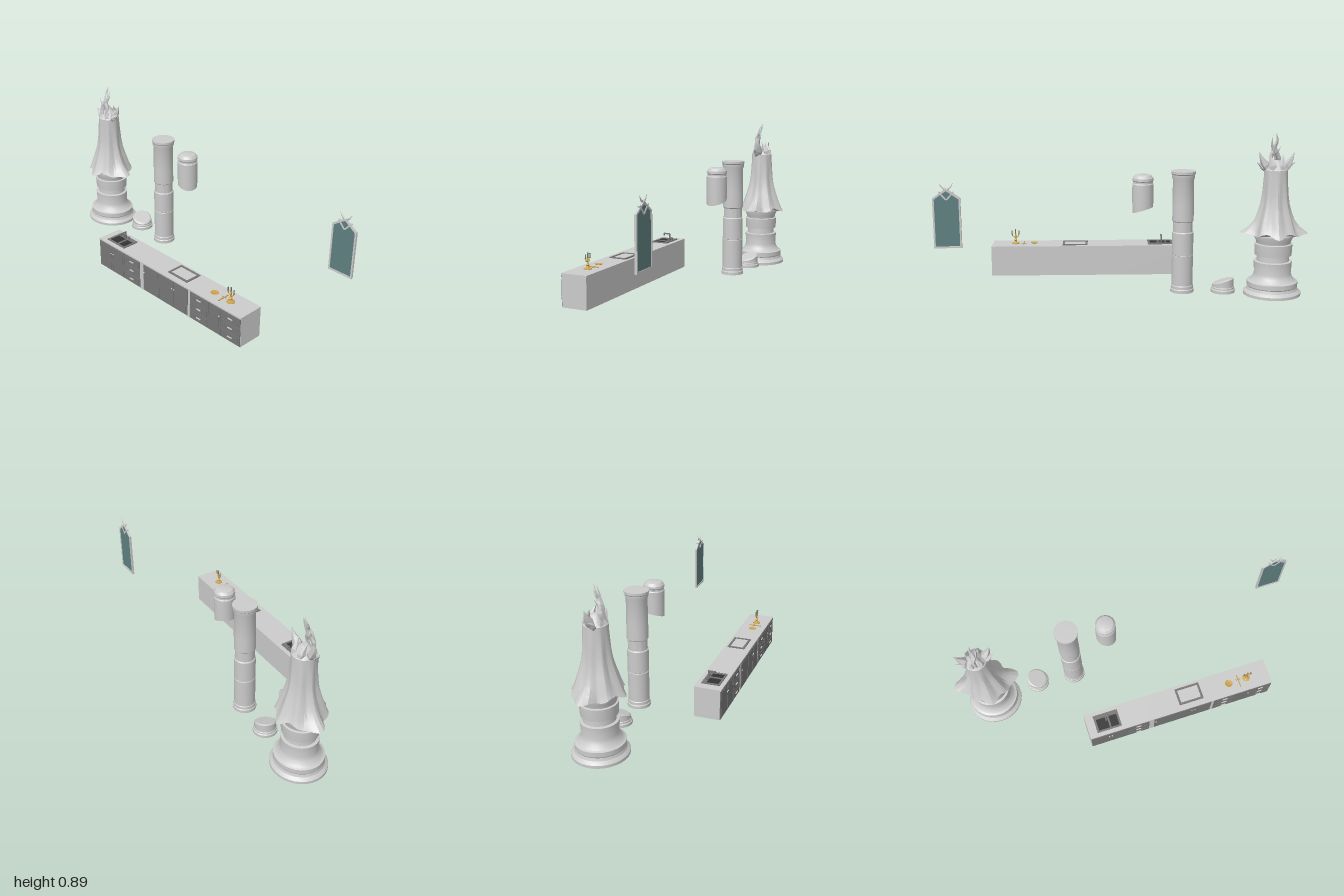
import * as THREE from 'three';
import { toCreasedNormals } from 'three/addons/utils/BufferGeometryUtils.js';

const mat = (color, flatShading = false) => new THREE.MeshStandardMaterial({ color, flatShading, side: THREE.DoubleSide });
const grey = mat(0xcccccc), stone = mat(0xcccccc, true), dark = mat(0x777777), black = mat(0x333333);
const gold = mat(0xc9a24a), glass = mat(0x5f8080);

function add(parent, name, geo, material = grey, x = 0, y = 0, z = 0) {
  const m = new THREE.Mesh(geo, material);
  m.name = name;
  m.position.set(x, y, z);
  parent.add(m);
  return m;
}
function group(parent, name, x = 0, y = 0, z = 0) {
  const g = new THREE.Group();
  g.name = name;
  g.position.set(x, y, z);
  parent.add(g);
  return g;
}
const box = (p, name, x0, x1, y0, y1, z0, z1, m) =>
  add(p, name, new THREE.BoxGeometry(x1 - x0, y1 - y0, z1 - z0), m, (x0 + x1) / 2, (y0 + y1) / 2, (z0 + z1) / 2);

// Turned shape from [radius, height] pairs, with an optional rule that moves each vertex
function turned(profile, sides = 32, rule, crease = 0.5) {
  const g = new THREE.LatheGeometry(profile.map(p => new THREE.Vector2(...p)), sides);
  if (rule) move(g, rule);
  return toCreasedNormals(g, crease);
}
function move(g, rule) {
  const p = g.attributes.position, v = new THREE.Vector3();
  for (let i = 0; i < p.count; i++) {
    v.fromBufferAttribute(p, i);
    rule(v);
    p.setXYZ(i, v.x, v.y, v.z);
  }
  g.computeVertexNormals();
}

// Pointed leaf swept along a curve, swelling in the middle
function leaf(points, width, start = 0.35) {
  const curve = new THREE.CatmullRomCurve3(points.map(p => new THREE.Vector3(...p)));
  const n = 10, k = 5, g = new THREE.TubeGeometry(curve, n, 1, k);
  const p = g.attributes.position, v = new THREE.Vector3();
  for (let i = 0; i <= n; i++) {
    const t = i / n, c = curve.getPointAt(t);
    const r = width * Math.max(0.02, t < 0.4 ? start + (1 - start) * t / 0.4 : (1 - t) / 0.6);
    for (let j = 0; j <= k; j++) {
      const a = i * (k + 1) + j;
      v.fromBufferAttribute(p, a).sub(c).multiplyScalar(r).add(c);
      p.setXYZ(a, v.x, v.y, v.z);
    }
  }
  g.computeVertexNormals();
  return g;
}

// Tall statue: round pedestal, draped body with a pointed hem, crown of leaves
function statue(root) {
  const s = group(root, 'statue', -0.828, 0, -0.167);
  const ped = add(s, 'pedestal', turned([[0, 0], [0.157, 0], [0.157, 0.015], [0.15, 0.022], [0.14, 0.03], [0.135, 0.045],
    [0.138, 0.05], [0.138, 0.075], [0.125, 0.08], [0.108, 0.1], [0.1, 0.122], [0.104, 0.187], [0.088, 0.19], [0.086, 0.22],
    [0.1, 0.222], [0.102, 0.25], [0.103, 0.285], [0.093, 0.288], [0.095, 0.3], [0.107, 0.325], [0.107, 0.335], [0, 0.336]]));
  ped.scale.z = 0.93;

  const hem = v => {
    const r = Math.hypot(v.x, v.z);
    if (r < 1e-4) return;
    const a = Math.atan2(v.z, v.x), low = THREE.MathUtils.clamp((0.43 - v.y) / 0.085, 0, 1);
    const c = Math.cos(a - 0.13), side = Math.pow(Math.abs(c), 14), end = Math.pow(Math.abs(Math.sin(a)), 10);
    const pleat = 1 + 0.07 * Math.cos(a * 8) * THREE.MathUtils.clamp((0.72 - v.y) / 0.2, 0, 1);
    const reach = r > 0.085 ? low * low * (0.055 * side + 0.012 * end) : 0;
    const q = (pleat * r + reach) / r;
    v.x *= q;
    v.z *= q;
    if (v.y < 0.4 && r > 0.085) v.y += 0.012 * (1 - side) * Math.cos(a * 6) * low;
  };
  add(s, 'drapedBody', turned([[0, 0.335], [0.08, 0.335], [0.125, 0.343], [0.12, 0.355], [0.113, 0.375], [0.103, 0.41],
    [0.09, 0.45], [0.076, 0.5], [0.069, 0.55], [0.066, 0.6], [0.063, 0.65], [0.062, 0.69], [0.052, 0.7], [0.035, 0.725],
    [0.015, 0.74], [0, 0.742]], 48, hem, 0.4));

  // Crown: leaves to both sides, shorter ones at front and back
  const crown = group(s, 'crown', 0, 0, 0);
  for (const side of [-1, 1]) {
    add(crown, 'sideLeaf', leaf([[side * 0.035, 0.67, 0], [side * 0.055, 0.71, 0], [side * 0.078, 0.745, -0.005],
      [side * 0.094, 0.785, -0.01]], 0.024, 0.7), stone);
    add(crown, 'outerLeaf', leaf([[side * 0.045, 0.68, 0.015], [side * 0.075, 0.71, 0.015], [side * 0.105, 0.728, 0.01]], 0.018, 0.7), stone);
    add(crown, 'backLeaf', leaf([[side * 0.02, 0.67, -0.04], [side * 0.025, 0.72, -0.03], [side * 0.035, 0.77, -0.01]], 0.022, 0.8), stone);
    add(crown, 'frontLeaf', leaf([[side * 0.02, 0.67, 0.03], [side * 0.025, 0.7, 0.035], [side * 0.03, 0.745, 0.03]], 0.018, 0.8), stone);
  }
  // Twin wavy flame leaning back
  add(crown, 'flame', leaf([[0, 0.715, 0.052], [-0.008, 0.76, 0.037], [0.008, 0.81, 0.02], [-0.004, 0.845, 0.008], [0.006, 0.887, -0.004]], 0.018), stone);
  add(crown, 'flame', leaf([[0.015, 0.71, 0.042], [0.024, 0.75, 0.03], [0.012, 0.79, 0.025], [0.024, 0.825, 0.015], [0.022, 0.872, 0.003]], 0.013), stone);
  add(crown, 'flame', leaf([[-0.015, 0.7, 0.045], [-0.022, 0.74, 0.038], [-0.012, 0.78, 0.024], [-0.025, 0.815, 0.012]], 0.012), stone);
}

// Stone columns: one whole, one broken top, one broken foot
function columns(root) {
  add(root, 'column', turned([[0, 0.02], [0.064, 0.02], [0.064, 0.037], [0.06, 0.041], [0.06, 0.056], [0.057, 0.06],
    [0.058, 0.226], [0.056, 0.228], [0.058, 0.23], [0.058, 0.352], [0.053, 0.357], [0.053, 0.412], [0.058, 0.417],
    [0.058, 0.5], [0.057, 0.64], [0.062, 0.655], [0.062, 0.668], [0.066, 0.673], [0.066, 0.686], [0, 0.687]]),
    grey, -0.33, 0, -0.173);
  add(root, 'brokenColumnTop', turned([[0, 0.45], [0.056, 0.45], [0.057, 0.53], [0.057, 0.615], [0.053, 0.621], [0.053, 0.63],
    [0.057, 0.635], [0.056, 0.648], [0.045, 0.662], [0.037, 0.665], [0, 0.665]], 32,
    v => { if (v.y < 0.46) v.y = 0.473 - 0.3 * v.x - 0.12 * v.z; }), grey, -0.113, 0, -0.163);
  add(root, 'brokenColumnFoot', turned([[0, 0.02], [0.066, 0.02], [0.066, 0.036], [0.061, 0.04], [0.061, 0.048],
    [0.058, 0.051], [0.058, 0.08], [0.05, 0.086], [0, 0.086]], 32,
    v => { if (v.y > 0.07) v.y += -0.3 * v.x + 0.16 * -v.z - 0.002; }), grey, -0.553, 0, -0.187);
}

// Plate with rectangular openings, lying flat
function plate(x0, x1, z0, z1, holes, h) {
  const rect = (o, a, b, c, d) => { o.moveTo(a, c); o.lineTo(b, c); o.lineTo(b, d); o.lineTo(a, d); o.closePath(); return o; };
  const s = rect(new THREE.Shape(), x0, x1, -z1, -z0);
  for (const [a, b, c, d] of holes) s.holes.push(rect(new THREE.Path(), a, b, -d, -c));
  return new THREE.ExtrudeGeometry(s, { depth: h, bevelEnabled: false }).rotateX(-Math.PI / 2);
}

function kitchen(root) {
  const k = group(root, 'kitchenCounter');
  for (const [a, b] of [[-0.36, 0.005], [0.005, 0.385], [0.385, 0.75]]) {
    box(k, 'cabinet', a, b, 0.02, 0.187, 0.157, 0.3);
    box(k, 'worktop', a, b, 0.187, 0.195, 0.155, 0.305);
  }
  box(k, 'fillerStrip', -0.004, 0.024, 0.02, 0.187, 0.3, 0.304);
  box(k, 'fillerStrip', 0.377, 0.392, 0.02, 0.187, 0.3, 0.304);

  // Fronts: number of stacked panels, and the side that carries a door knob
  const fronts = [[-0.357, -0.244, 1, 1], [-0.242, -0.141, 1, -1], [-0.139, -0.006, 3, 0], [0.026, 0.156, 1, -1],
    [0.158, 0.264, 1, 1], [0.266, 0.375, 1, -1], [0.394, 0.526, 3, 0], [0.528, 0.615, 1, 1], [0.617, 0.748, 3, 0]];
  for (const [a, b, rows, knob] of fronts) {
    const step = 0.163 / rows;
    for (let i = 0; i < rows; i++) {
      const y = 0.022 + i * step, mid = (a + b) / 2;
      box(k, rows > 1 ? 'drawer' : 'door', a, b, y + 0.001, y + step - 0.001, 0.3, 0.304, dark);
      box(k, 'frontPanel', a + 0.011, b - 0.011, y + 0.01, y + step - 0.01, 0.303, 0.306, dark);
      if (rows > 1) box(k, 'drawerHandle', mid - 0.015, mid + 0.015, y + step / 2 - 0.002, y + step / 2 + 0.003, 0.305, 0.311);
      else add(k, 'doorKnob', new THREE.SphereGeometry(0.004, 10, 8), grey, knob > 0 ? b - 0.008 : a + 0.008, 0.138, 0.308);
    }
  }

  // Double sink with tap
  const sink = group(k, 'sink');
  add(sink, 'sinkRim', plate(-0.312, -0.166, 0.18, 0.282, [[-0.3, -0.235, 0.205, 0.272], [-0.225, -0.178, 0.205, 0.272]], 0.005), dark, 0, 0.196, 0);
  box(sink, 'basin', -0.3, -0.178, 0.195, 0.197, 0.205, 0.272, black);
  add(sink, 'tapPost', new THREE.CylinderGeometry(0.004, 0.005, 0.045, 12), dark, -0.245, 0.222, 0.2);
  box(sink, 'tapSpout', -0.249, -0.241, 0.237, 0.244, 0.198, 0.238, dark);
  box(sink, 'tapNozzle', -0.248, -0.242, 0.229, 0.24, 0.231, 0.238, dark);
  for (const x of [-0.268, -0.222]) add(sink, 'tapHandle', new THREE.CylinderGeometry(0.005, 0.006, 0.015, 12), dark, x, 0.208, 0.196);

  // Cooktop
  add(k, 'cooktopFrame', plate(0.19, 0.336, 0.172, 0.272, [[0.202, 0.324, 0.184, 0.26]], 0.005), dark, 0, 0.196, 0);
  box(k, 'cooktop', 0.202, 0.324, 0.195, 0.198, 0.184, 0.26, grey);

  // Plate and cutlery
  add(k, 'goldPlate', turned([[0, 0.196], [0.013, 0.196], [0.022, 0.2], [0.021, 0.201], [0.012, 0.198], [0, 0.198]], 24), gold, 0.505, 0, 0.235);
  box(k, 'cutleryBar', 0.564, 0.569, 0.195, 0.199, 0.2, 0.272, gold);
  box(k, 'cutleryBar', 0.553, 0.58, 0.195, 0.199, 0.225, 0.23, gold);

  // Candlestick with three candles
  const c = group(k, 'candlestick', 0.615, 0.195, 0.232);
  add(c, 'stem', turned([[0, 0], [0.022, 0], [0.021, 0.004], [0.008, 0.009], [0.005, 0.016], [0.009, 0.022], [0.004, 0.03], [0.004, 0.058], [0, 0.058]], 16), gold);
  const arm = new THREE.CatmullRomCurve3([[-0.02, 0.056], [-0.015, 0.043], [0, 0.038], [0.015, 0.043], [0.02, 0.056]].map(p => new THREE.Vector3(p[0], p[1], 0)));
  add(c, 'arms', new THREE.TubeGeometry(arm, 16, 0.0025, 6), gold);
  for (const x of [-0.02, 0, 0.02]) {
    const y = x ? 0.056 : 0.06;
    add(c, 'candleCup', new THREE.CylinderGeometry(0.006, 0.003, 0.005, 12), gold, x, y, 0);
    add(c, 'candle', new THREE.CylinderGeometry(0.003, 0.003, x ? 0.02 : 0.026, 8), dark, x, y + 0.013, 0);
  }
}

// Hanging mirror with gabled frame and crossed leaf crest
function mirror(root) {
  const m = group(root, 'mirror', 0.92, 0, -0.255);
  const outline = (o, w, y0, y1, y2) => {
    o.moveTo(-w, y0); o.lineTo(w, y0); o.lineTo(w, y1); o.lineTo(0, y2); o.lineTo(-w, y1); o.closePath();
    return o;
  };
  const frame = outline(new THREE.Shape(), 0.073, 0.293, 0.56, 0.612);
  frame.holes.push(outline(new THREE.Path(), 0.064, 0.303, 0.554, 0.6));
  const solid = (s, depth) => new THREE.ExtrudeGeometry(s, { depth, bevelEnabled: false });
  add(m, 'mirrorFrame', solid(frame, 0.012), grey, 0, 0, -0.006);
  add(m, 'mirrorGlass', solid(outline(new THREE.Shape(), 0.066, 0.301, 0.555, 0.602), 0.006), glass, 0, 0, -0.003);
  for (const s of [-1, 1]) {
    const crest = add(m, 'crestLeaf', leaf([[-s * 0.03, 0.575, 0], [0, 0.604, 0], [s * 0.022, 0.618, 0], [s * 0.037, 0.642, 0]], 0.009, 0.3), grey);
    crest.scale.z = 0.6;
    const bar = add(m, 'crestBar', new THREE.BoxGeometry(0.056, 0.008, 0.012), grey, s * 0.02, 0.573, 0);
    bar.rotation.z = s * 0.85;
  }
}

export function createModel() {
  const root = new THREE.Group();
  root.name = 'furnishingSet';
  statue(root);
  columns(root);
  kitchen(root);
  mirror(root);
  return root;
}
